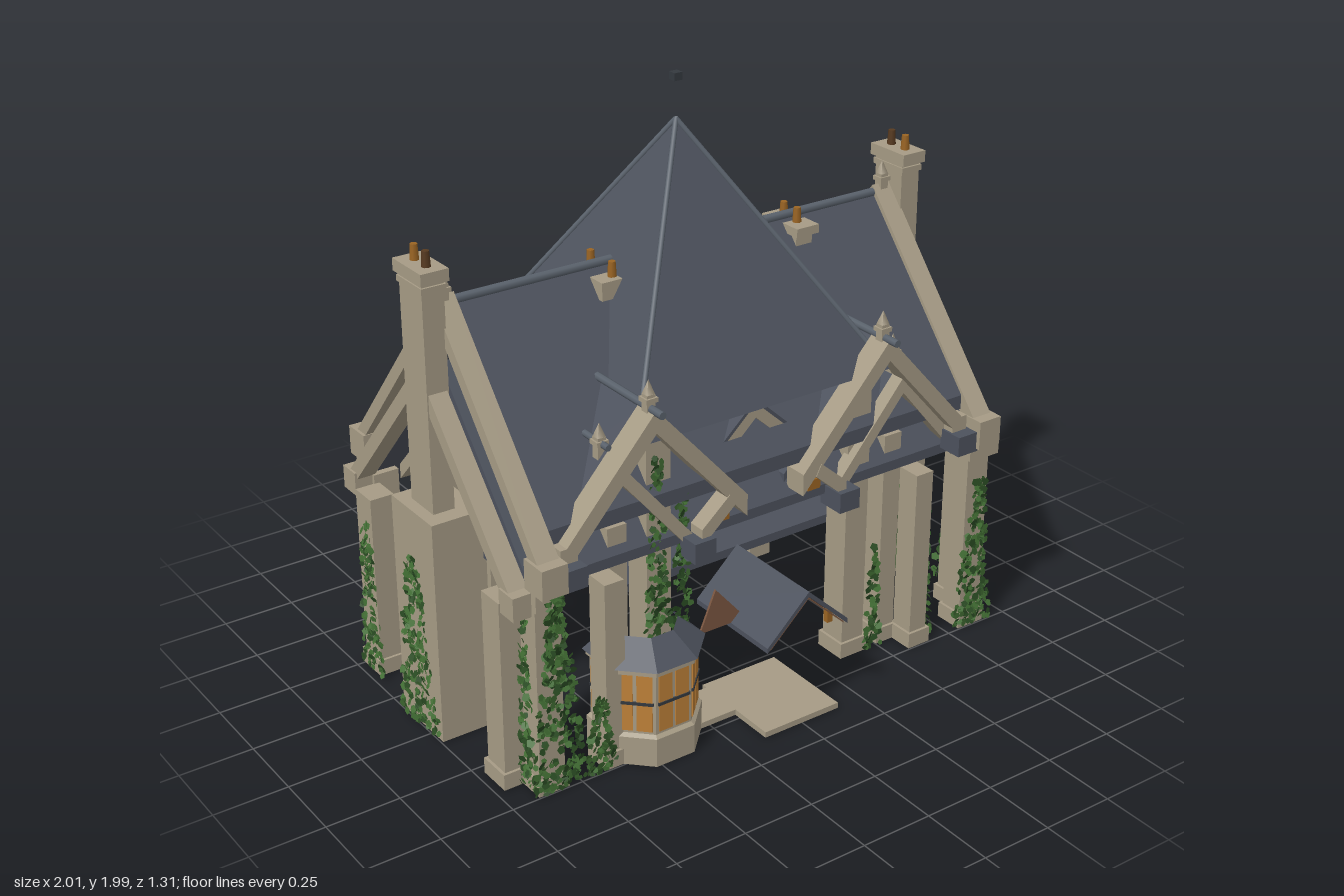
import * as THREE from 'three';
import { mergeGeometries } from 'three/addons/utils/BufferGeometryUtils.js';

const mat = (name, color, side = THREE.FrontSide) => {
  const m = new THREE.MeshStandardMaterial({ color, side });
  m.name = name;
  return m;
};

export function createModel() {
  const root = new THREE.Group();
  root.name = 'manorHouse';
  const stone = mat('stone', 0xa69b85);
  const slate = mat('slate', 0x4d525d, THREE.DoubleSide);
  const lead = mat('lead', 0x5a626c);
  const glass = mat('amberGlass', 0xbd8038);
  const timber = mat('timber', 0x7a5640, THREE.DoubleSide);
  const clay = mat('clay', 0x9a6423);
  const darkClay = mat('darkClay', 0x573a20);
  const iron = mat('iron', 0x34393f);
  const leaf = mat('leaf', 0x416d33, THREE.DoubleSide);
  const leafDark = mat('darkLeaf', 0x294a22, THREE.DoubleSide);
  const RZ = -0.06; // ridge line

  const add = (name, geo, m, x = 0, y = 0, z = 0) => {
    const mesh = new THREE.Mesh(geo, m);
    mesh.name = name;
    mesh.position.set(x, y, z);
    root.add(mesh);
    return mesh;
  };
  const box = (name, m, x0, x1, y0, y1, z0, z1) =>
    add(name, new THREE.BoxGeometry(x1 - x0, y1 - y0, z1 - z0), m, (x0 + x1) / 2, (y0 + y1) / 2, (z0 + z1) / 2);
  // box centred on x and z
  const block = (name, m, x, z, w, d, y0, y1) => box(name, m, x - w / 2, x + w / 2, y0, y1, z - d / 2, z + d / 2);
  // extruded outline; alongX turns the outline to (z, y) and runs it along x
  const prism = (name, m, pts, len, x, z, alongX = false) => {
    const shape = new THREE.Shape(pts.map(p => new THREE.Vector2(p[0], p[1])));
    const geo = new THREE.ExtrudeGeometry(shape, { depth: len, bevelEnabled: false });
    geo.translate(0, 0, -len / 2);
    const mesh = add(name, geo, m, x, 0, z);
    if (alongX) mesh.rotation.y = -Math.PI / 2;
    return mesh;
  };
  // chevron section: half width, apex, eave, thickness; right half may be cut shorter
  const gable = (name, m, hw, ay, ey, t, len, x, z, alongX = false, cut = hw) => {
    const cy = ay - (ay - ey) * cut / hw;
    return prism(name, m, [[0, ay], [-hw, ey], [-hw, ey - t], [0, ay - t], [cut, cy - t], [cut, cy]], len, x, z, alongX);
  };
  const rod = (name, m, a, b, r) => {
    const p = new THREE.Vector3(...a), d = new THREE.Vector3(...b).sub(p);
    const mesh = add(name, new THREE.CylinderGeometry(r, r, d.length(), 8), m);
    mesh.position.copy(p).addScaledVector(d, 0.5);
    mesh.quaternion.setFromUnitVectors(new THREE.Vector3(0, 1, 0), d.normalize());
  };
  const pot = (x, y, z, m = clay, h = 0.05) => add('chimneyPot', new THREE.CylinderGeometry(0.012, 0.015, h, 8), m, x, y + h / 2, z);
  const finial = (x, y, z) => {
    block('finialBlock', stone, x, z, 0.03, 0.03, y - 0.1, y);
    block('finialCollar', stone, x, z, 0.042, 0.042, y - 0.025, y - 0.01);
    const tip = add('finialTip', new THREE.ConeGeometry(0.02, 0.045, 4), stone, x, y + 0.0225, z);
    tip.rotation.y = Math.PI / 4;
  };

  // main roof, and the lower roof nested beneath it
  gable('mainRoof', slate, 0.58, 1.43, 0.755, 0.05, 1.64, 0, RZ, true, 0.49);
  gable('lowerRoof', slate, 0.52, 1.24, 0.65, 0.035, 1.74, 0, RZ, true, 0.48);

  // central pyramid roof with hip rolls
  const H = 0.49, APEX = 1.84, BASE = 1.04;
  const pyramid = add('towerRoof', new THREE.ConeGeometry(H * Math.SQRT2, APEX - BASE, 4, 1, true, Math.PI / 4).toNonIndexed(), slate, 0, (APEX + BASE) / 2, RZ);
  pyramid.geometry.computeVertexNormals();
  for (const sx of [-1, 1]) for (const sz of [-1, 1])
    rod('hipRoll', lead, [0, APEX, RZ], [sx * (H - 0.006), BASE + 0.01, RZ + sz * (H - 0.006)], 0.009);
  block('spireTip', iron, 0, RZ, 0.03, 0.03, 1.965, 1.99);

  for (const s of [-1, 1]) {
    const mid = (a, b) => s * (a + b) / 2;
    // ridge roll and stepped gable copings at the ends
    rod('ridgeRoll', lead, [s * 0.25, 1.43, RZ], [s * 0.88, 1.43, RZ], 0.015);
    gable('gableCoping', stone, 0.575, 1.455, 0.775, 0.065, 0.075, mid(0.81, 0.885), RZ, true);
    gable('outerCoping', stone, 0.51, 1.25, 0.68, 0.07, 0.065, mid(0.885, 0.95), RZ, true);
    gable('innerCoping', stone, 0.25, 1.06, 0.8, 0.05, 0.05, s * 0.87, RZ, true);
    finial(s * 0.85, 1.49, RZ);
    for (const sz of [-1, 1]) {
      block('kneeler', stone, s * 0.85, RZ + sz * 0.545, 0.09, 0.1, 0.7, 0.8);
      block('kneelerFoot', stone, s * 0.85, RZ + sz * 0.515, 0.09, 0.08, 0.64, 0.7);
      block('outerKneeler', stone, s * 0.92, RZ + sz * 0.49, 0.075, 0.08, 0.62, 0.7);
    }
    // end chimney
    block('chimneyBase', stone, mid(0.81, 0.995), -0.0585, 0.185, 0.253, 0, 0.775);
    block('chimneyStack', stone, s * 0.917, RZ, 0.075, 0.135, 0.775, 1.53);
    block('chimneyNeck', stone, s * 0.917, RZ, 0.085, 0.15, 1.5, 1.52);
    block('chimneyCap', stone, s * 0.917, RZ, 0.095, 0.17, 1.53, 1.57);
    pot(s * 0.917, 1.57, RZ - s * 0.035, darkClay);
    pot(s * 0.917, 1.57, RZ + s * 0.035, clay);
    // ridge chimney next to the tower roof
    block('ridgeChimney', stone, s * 0.305, RZ, 0.08, 0.19, 1.34, 1.4);
    for (const dz of [-0.06, 0.06]) pot(s * 0.285, 1.4, RZ + dz);

    // large front dormer, its barge standing proud of the slates
    gable('dormerRoof', slate, 0.35, 1.15, 0.76, 0.03, 0.28, s * 0.45, 0.25);
    gable('dormerBarge', stone, 0.34, 1.17, 0.79, 0.075, 0.085, s * 0.45, 0.435);
    rod('dormerRidgeRoll', lead, [s * 0.45, 1.165, 0.16], [s * 0.45, 1.165, 0.51], 0.013);
    finial(s * 0.45, 1.21, 0.435);
    block('dormerKneeler', stone, s * 0.765, 0.435, 0.06, 0.085, 0.73, 0.81);
    block('dormerFoot', slate, s * 0.77, 0.475, 0.085, 0.09, 0.69, 0.76);
    // smaller gable tucked behind it
    gable('sideGable', stone, 0.27, 1.0, 0.68, 0.06, 0.05, s * 0.55, 0.41);
    gable('sideGableRoof', slate, 0.28, 0.985, 0.65, 0.03, 0.3, s * 0.55, 0.235);
    rod('sideGableRoll', lead, [s * 0.57, 1.05, 0.27], [s * 0.57, 1.05, 0.4], 0.011);
    finial(s * 0.57, 1.07, 0.35);
    block('gableFoot', slate, s * 0.285, 0.45, 0.08, 0.1, 0.62, 0.69);
    // short brace that meets the gable foot, with a clay corbel
    prism('gableBrace', stone, [[s * 0.16, 0.77], [s * 0.285, 0.66], [s * 0.285, 0.72], [s * 0.18, 0.81]], 0.06, 0, 0.45);
    block('clayCorbel', clay, s * 0.18, 0.435, 0.05, 0.02, 0.705, 0.74);

    // piers: x, z at front, z at back, width, depth, height
    const piers = [
      [0.85, 0.445, -0.54, 0.09, 0.085, 0.68],
      [0.92, 0.345, -0.45, 0.085, 0.1, 0.65],
      [0.395, 0.355, -0.45, 0.09, 0.1, 1.05],
      [0.545, 0.355, -0.36, 0.07, 0.09, 0.78],
      [0.615, 0.445, -0.54, 0.07, 0.085, 0.65],
    ];
    for (const [x, zf, zb, w, d, h] of piers) for (const z of [zf, zb]) {
      block('pier', stone, s * x, z, w, d, 0, h);
      block('pierPlinth', stone, s * x, z, w + 0.02, d + 0.02, 0, 0.055);
    }
    // side walls under the inner lean-to
    prism('leanToWall', stone, [[0.24, 0.44], [0.03, 0.58], [-0.31, 0.62], [-0.31, 0.44]], 0.08, s * 0.45, 0, true);
  }

  // single chimney on the left ridge, and a low one under the roof
  block('midChimney', stone, 0.46, RZ, 0.065, 0.15, 1.34, 1.38);
  block('midChimneyCap', stone, 0.46, RZ, 0.09, 0.19, 1.38, 1.41);
  for (const dz of [-0.035, 0.035]) pot(0.46, 1.41, RZ + dz);
  block('lowChimney', stone, 0.3, -0.235, 0.1, 0.1, 0.44, 0.83);
  block('lowChimneyCap', stone, 0.3, -0.235, 0.12, 0.13, 0.83, 0.86);
  pot(0.3, 0.86, -0.235);

  // small central dormer and the inner lean-to roof
  gable('centreDormer', stone, 0.12, 1.03, 0.92, 0.05, 0.08, 0, 0.33);
  gable('centreDormerRoof', slate, 0.125, 1.045, 0.93, 0.015, 0.14, 0, 0.3);
  prism('leanToRoof', slate, [[0.26, 0.44], [0.26, 0.47], [-0.1, 0.73], [-0.1, 0.7]], 1.03, 0, 0, true);

  // entrance porch roof with timber fronts
  gable('porchRoof', slate, 0.16, 0.49, 0.34, 0.018, 0.375, 0, 0.468);
  gable('porchLining', timber, 0.145, 0.47, 0.334, 0.006, 0.37, 0, 0.468);
  prism('porchPanel', timber, [[-0.13, 0.34], [0.13, 0.34], [0, 0.465]], 0.008, 0, 0.45);
  prism('porchSidePanel', timber, [[-0.28, 0.34], [-0.1, 0.34], [-0.22, 0.48]], 0.008, 0, 0.46);
  for (const s of [-1, 1]) block('porchBracket', clay, s * 0.125, 0.6, 0.02, 0.02, 0.315, 0.36);

  // doorstep
  box('doorstep', stone, -0.15, 0.145, 0, 0.02, 0.3, 0.64);
  box('sideStep', stone, -0.3, -0.15, 0, 0.02, 0.32, 0.48);

  // bay window: five sides of an octagon, open to the house
  const BX = -0.45, BZ = 0.4, E = Math.PI / 8;
  const octagon = (name, m, top, bottom, y0, y1) => {
    const k = 1 / Math.cos(E);
    const g = new THREE.CylinderGeometry(top * k, bottom * k, y1 - y0, 5, 1, true, -5 * E, 10 * E).toNonIndexed();
    g.computeVertexNormals();
    return add(name, g, m, BX, (y0 + y1) / 2, BZ);
  };
  octagon('bayBase', stone, 0.172, 0.172, 0, 0.1);
  octagon('baySill', stone, 0.16, 0.172, 0.1, 0.11);
  octagon('bayBody', stone, 0.16, 0.16, 0.11, 0.34);
  octagon('bayCornice', stone, 0.172, 0.172, 0.325, 0.345);
  octagon('bayRoof', slate, 0.1, 0.182, 0.345, 0.42);
  for (let i = -2; i <= 2; i++) {
    const pane = new THREE.Group();
    pane.name = 'bayWindow';
    pane.position.set(BX, 0.22, BZ);
    pane.rotation.y = i * Math.PI / 4;
    const part = (name, m, w, h, x, y, z) => {
      const mesh = new THREE.Mesh(new THREE.BoxGeometry(w, h, 0.006), m);
      mesh.name = name;
      mesh.position.set(x, y, z);
      pane.add(mesh);
    };
    for (const x of [-0.031, 0.031]) part('pane', glass, 0.05, 0.2, x, 0, 0.161);
    part('transom', iron, 0.12, 0.01, 0, 0, 0.164);
    root.add(pane);
  }

  // ivy: scattered leaves on upright strips that thin out towards the top
  let seed = 7;
  const rnd = () => (seed = (seed * 16807) % 2147483647) / 2147483647;
  const leaves = [[], []];
  const ivy = (x, z, turn, w, y0, y1, n) => {
    for (let i = 0; i < n * 1.2; i++) {
      const t = Math.pow(rnd(), 1.3), r = 0.009 + 0.007 * rnd();
      const g = new THREE.CircleGeometry(r, 5);
      g.rotateZ(rnd() * 6.28).rotateX((rnd() - 0.6) * 1.1).rotateY((rnd() - 0.5) * 1.1);
      g.translate((rnd() - 0.5) * w * (1 - 0.75 * t), y0 + t * (y1 - y0) + 0.012, 0.004 + 0.012 * rnd());
      g.rotateY(turn).translate(x, 0, z);
      leaves[rnd() < 0.65 ? 0 : 1].push(g);
    }
  };
  const Q = Math.PI / 2;
  const strips = [
    [-0.83, 0.49, 0, 0.19, 0, 0.72, 280], [-0.68, 0.49, 0, 0.12, 0, 0.27, 80],
    [-0.995, -0.06, -Q, 0.25, 0, 0.6, 220], [-0.965, -0.43, -Q, 0.15, 0, 0.55, 130],
    [-0.9, 0.44, -Q, 0.1, 0, 0.6, 100], [-0.41, 0.41, 0, 0.1, 0.3, 0.97, 140],
    [-0.32, 0.41, 0, 0.08, 0.3, 0.85, 90], [-0.4, -0.505, 2 * Q, 0.12, 0, 0.8, 170],
    [-0.345, -0.45, Q, 0.1, 0, 0.7, 90], [-0.9, -0.19, 2 * Q, 0.12, 0, 0.62, 110],
    [0.47, 0.41, 0, 0.07, 0, 0.38, 60], [0.665, 0.43, Q, 0.12, 0, 0.5, 110],
    [0.85, 0.49, 0, 0.17, 0, 0.55, 190], [0.93, 0.4, 0, 0.1, 0, 0.6, 110],
    [0.965, 0.28, Q, 0.24, 0, 0.48, 220], [0.9, 0.44, Q, 0.12, 0, 0.48, 110],
    [0.91, 0.07, 0, 0.15, 0, 0.42, 90], [0.9, -0.19, 2 * Q, 0.12, 0, 0.5, 80],
  ];
  for (const s of strips) ivy(...s);
  add('ivy', mergeGeometries(leaves[0]), leaf);
  add('ivyShade', mergeGeometries(leaves[1]), leafDark);
  return root;
}
